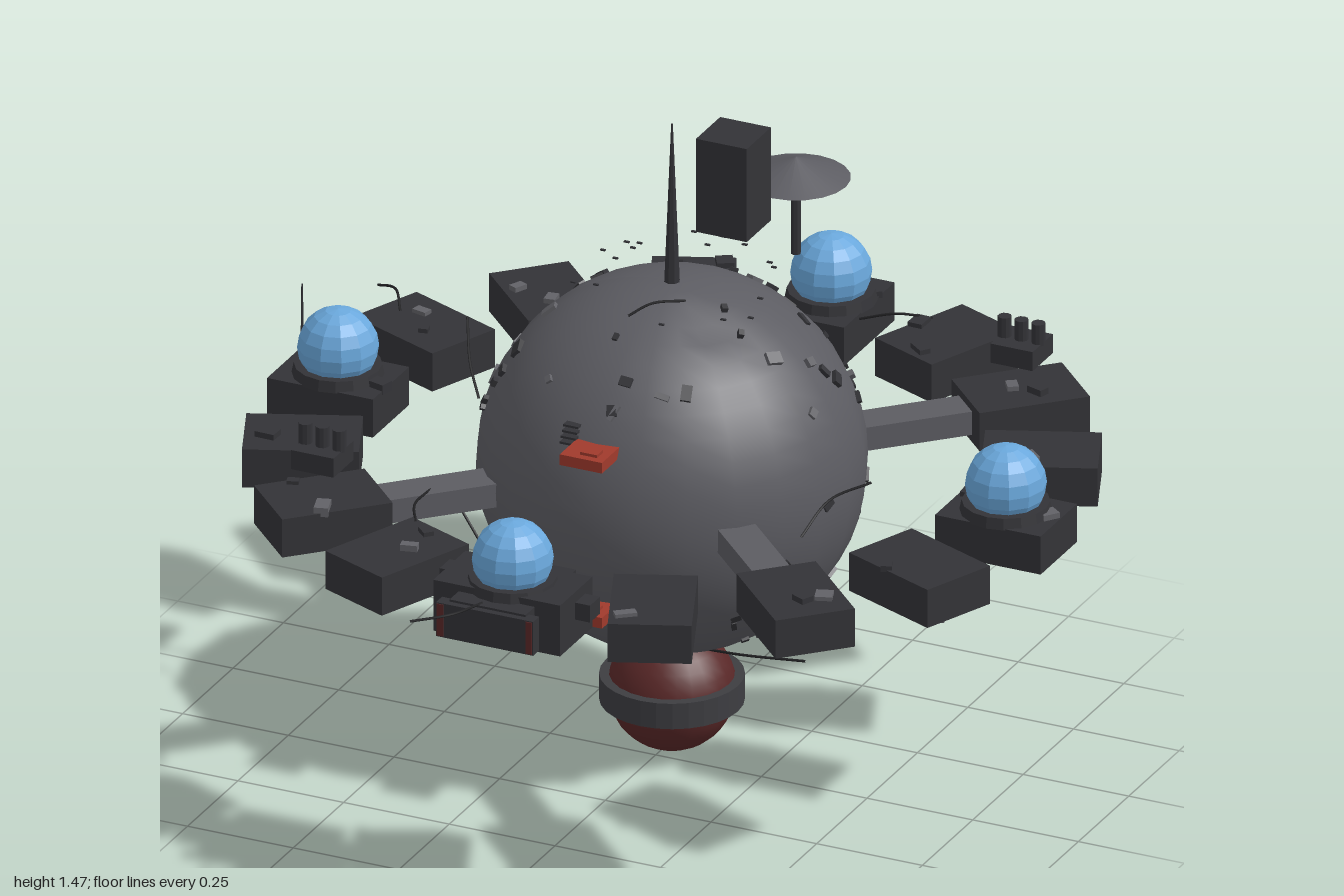
import * as THREE from 'three';

const mat = (color, extra = {}) => new THREE.MeshStandardMaterial({ color, ...extra });
const hull = mat(0x5c5c62);
const dark = mat(0x333337, { flatShading: true });
const plate = mat(0x626267, { flatShading: true });
const wireMat = mat(0x222224);
const red = mat(0xa03a2c, { flatShading: true });
const maroon = mat(0x5a2828);
const blue = mat(0x6aa8dc, { flatShading: true });
const V = (x, y, z) => new THREE.Vector3(x, y, z);

// Seeded generator for scattered plating
let seed = 7;
const rnd = () => {
  seed = (seed * 16807) % 2147483647;
  return seed / 2147483647;
};
const range = (a, b) => a + (b - a) * rnd();

function add(parent, name, geo, material, x = 0, y = 0, z = 0) {
  const m = new THREE.Mesh(geo, material);
  m.name = name;
  m.position.set(x, y, z);
  parent.add(m);
  return m;
}
const box = (p, name, w, h, d, m, x, y, z) => add(p, name, new THREE.BoxGeometry(w, h, d), m, x, y, z);
const cyl = (p, name, r1, r2, h, n, m, x, y, z) =>
  add(p, name, new THREE.CylinderGeometry(r1, r2, h, n), m, x, y, z);

const R = 0.42, CY = 0.68, RING = 0.79;

// Main globe with one shallow dent near the top
function globe(g) {
  const geo = new THREE.SphereGeometry(R, 24, 24);
  const pos = geo.attributes.position, dent = V(0.14, 0.38, 0.11), p = V();
  for (let i = 0; i < pos.count; i++) {
    p.fromBufferAttribute(pos, i);
    const d = p.distanceTo(dent);
    if (d < 0.08) p.multiplyScalar(1 - 0.05 * (1 - d / 0.08));
    pos.setXYZ(i, p.x, p.y, p.z);
  }
  geo.computeVertexNormals();
  add(g, 'globe', geo, hull, 0, CY, 0);
}

// Small plates scattered over the globe, leaving the front face clear
function scatterPlates(g) {
  const group = new THREE.Group();
  group.name = 'hullPlates';
  g.add(group);
  for (let i = 0; i < 110; i++) {
    const y = range(-0.9, 0.95), a = range(0, Math.PI * 2), s = Math.sqrt(1 - y * y);
    const n = V(Math.cos(a) * s, y, Math.sin(a) * s);
    if (n.z > 0.6 && n.y < 0.6) continue;
    const m = box(group, 'hullPlate', range(0.01, 0.04), range(0.01, 0.03), range(0.006, 0.016), i % 3 ? dark : plate);
    m.position.copy(n).multiplyScalar(R + 0.001).add(V(0, CY, 0));
    m.lookAt(m.position.clone().add(n));
    m.rotateZ(range(0, 3));
  }
  // Thin broken halo around the crown
  for (let i = 0; i < 18; i++) {
    const a = range(0, Math.PI * 2), r = range(0.16, 0.28);
    box(group, 'haloFragment', 0.012, 0.003, 0.006, dark, Math.cos(a) * r, 1.085, Math.sin(a) * r);
  }
}

// Sixteen ring modules; domes on the cardinal four, spokes on the diagonals
function ring(g) {
  for (let i = 0; i < 16; i++) {
    const m = new THREE.Group();
    m.name = 'ringModule';
    m.rotation.y = (i * Math.PI) / 8;
    g.add(m);
    box(m, 'moduleBody', 0.25, 0.09, 0.18, dark, RING, 0.675, 0);
    if (i % 4 === 0) {
      cyl(m, 'domeCollar', 0.095, 0.1, 0.025, 16, dark, RING, 0.73, 0);
      add(m, 'dome', new THREE.SphereGeometry(0.088, 12, 10), blue, RING, 0.783, 0);
    }
    if (i % 4 === 2) box(m, 'spoke', 0.34, 0.055, 0.085, hull, 0.545, 0.675, 0);
    for (let k = 0; k < 4; k++) {
      const side = rnd() > 0.5 ? 1 : -1;
      const c = box(m, 'moduleFitting', range(0.02, 0.05), range(0.01, 0.025), range(0.02, 0.04), k % 2 ? plate : dark,
        RING + range(-0.11, 0.11), 0.675 + side * 0.048, range(-0.08, 0.08));
      c.rotation.y = range(0, 3);
    }
  }
}

// Three-barrel turret
function turret(g, x, z) {
  const t = new THREE.Group();
  t.name = 'turret';
  t.position.set(x, 0, z);
  g.add(t);
  box(t, 'turretBase', 0.1, 0.045, 0.1, dark, 0, 0.813, 0);
  for (const i of [-1, 0, 1]) cyl(t, 'turretBarrel', 0.015, 0.015, 0.05, 10, dark, i * 0.04, 0.857, 0);
}

// Wide command block on the front module
function frontBlock(g) {
  box(g, 'commandBlock', 0.3, 0.12, 0.16, dark, 0, 0.675, 0.79);
  box(g, 'commandPanel', 0.23, 0.08, 0.03, dark, 0, 0.675, 0.915);
  for (const s of [-1, 1]) {
    box(g, 'commandStripe', 0.015, 0.075, 0.012, maroon, s * 0.105, 0.675, 0.926);
    box(g, 'sidePod', 0.04, 0.04, 0.05, dark, s * 0.165, 0.69, s > 0 ? 0.77 : 0.74);
  }
  for (let i = 0; i < 3; i++) box(g, 'ventRib', 0.18, 0.02, 0.012, dark, 0, 0.7, 0.675 + i * 0.02);
}

function wire(g, ...pts) {
  const curve = new THREE.CatmullRomCurve3(pts.map((p) => V(...p)));
  add(g, 'looseCable', new THREE.TubeGeometry(curve, 14, 0.003, 5), wireMat);
}

export function createModel() {
  const root = new THREE.Group();
  root.name = 'orbitalStation';
  const g = new THREE.Group();
  g.name = 'station';
  g.position.set(0.01, 0, -0.06);
  root.add(g);

  globe(g);
  scatterPlates(g);
  ring(g);
  frontBlock(g);
  turret(g, -0.56, 0.56);
  turret(g, 0.56, -0.56);

  // Top spire, tower and dish
  cyl(g, 'spire', 0.002, 0.018, 0.38, 8, dark, 0, 1.28, 0);
  box(g, 'tower', 0.12, 0.22, 0.12, dark, 0, 1.207, -0.305);
  cyl(g, 'dish', 0, 0.118, 0.048, 20, hull, 0, 1.104, -0.615);
  cyl(g, 'dishPost', 0.011, 0.011, 0.16, 8, dark, 0, 0.98, -0.615);

  // Front landing plates with a small grille above
  for (const y of [0.86, 0.493]) {
    box(g, 'landingPlate', 0.1, 0.025, 0.095, red, 0, y, 0.405);
    box(g, 'plateLip', 0.04, 0.008, 0.03, red, 0.01, y + 0.015, 0.42);
  }
  for (let i = 0; i < 4; i++) box(g, 'grilleSlat', 0.035, 0.005, 0.02, dark, -0.065, 0.865 + i * 0.011, 0.375 - i * 0.006);

  // Lower sphere and its band
  add(g, 'lowerSphere', new THREE.SphereGeometry(0.139, 24, 16), maroon, 0, 0.14, 0);
  const band = [[0.13, 0.112], [0.156, 0.112], [0.156, 0.172], [0.13, 0.172], [0.13, 0.112]];
  add(g, 'lowerBand', new THREE.LatheGeometry(band.map((p) => new THREE.Vector2(...p)), 28),
    mat(0x3d3d41, { flatShading: true, side: THREE.DoubleSide }));

  // Loose cables and an aerial
  wire(g, [-0.46, 0.94, 0.05], [-0.43, 0.86, 0.1], [-0.39, 0.8, 0.14]);
  wire(g, [-0.45, 0.57, 0.15], [-0.37, 0.46, 0.16], [-0.34, 0.38, 0.14], [-0.31, 0.3, 0.16]);
  wire(g, [0.09, 0.26, 0.03], [0.2, 0.28, 0.06], [0.34, 0.29, 0.05]);
  wire(g, [-0.02, 0.72, 0.9], [-0.05, 0.725, 0.99], [-0.12, 0.72, 1.05]);
  wire(g, [-0.38, 0.7, 0.4], [-0.37, 0.71, 0.5], [-0.32, 0.72, 0.6]);
  wire(g, [0.1, 0.72, -0.72], [0.18, 0.74, -0.74], [0.24, 0.72, -0.79]);
  wire(g, [-0.9, 0.72, -0.43], [-0.84, 0.74, -0.39], [-0.8, 0.72, -0.33]);
  wire(g, [0.5, 0.75, 0.06], [0.43, 0.72, 0.12], [0.4, 0.66, 0.2]);
  wire(g, [0.06, 1.09, 0.06], [0.02, 1.11, 0.14], [0, 1.11, 0.22]);
  cyl(g, 'aerial', 0.002, 0.004, 0.17, 5, dark, -0.913, 0.785, -0.08);
  return root;
}
